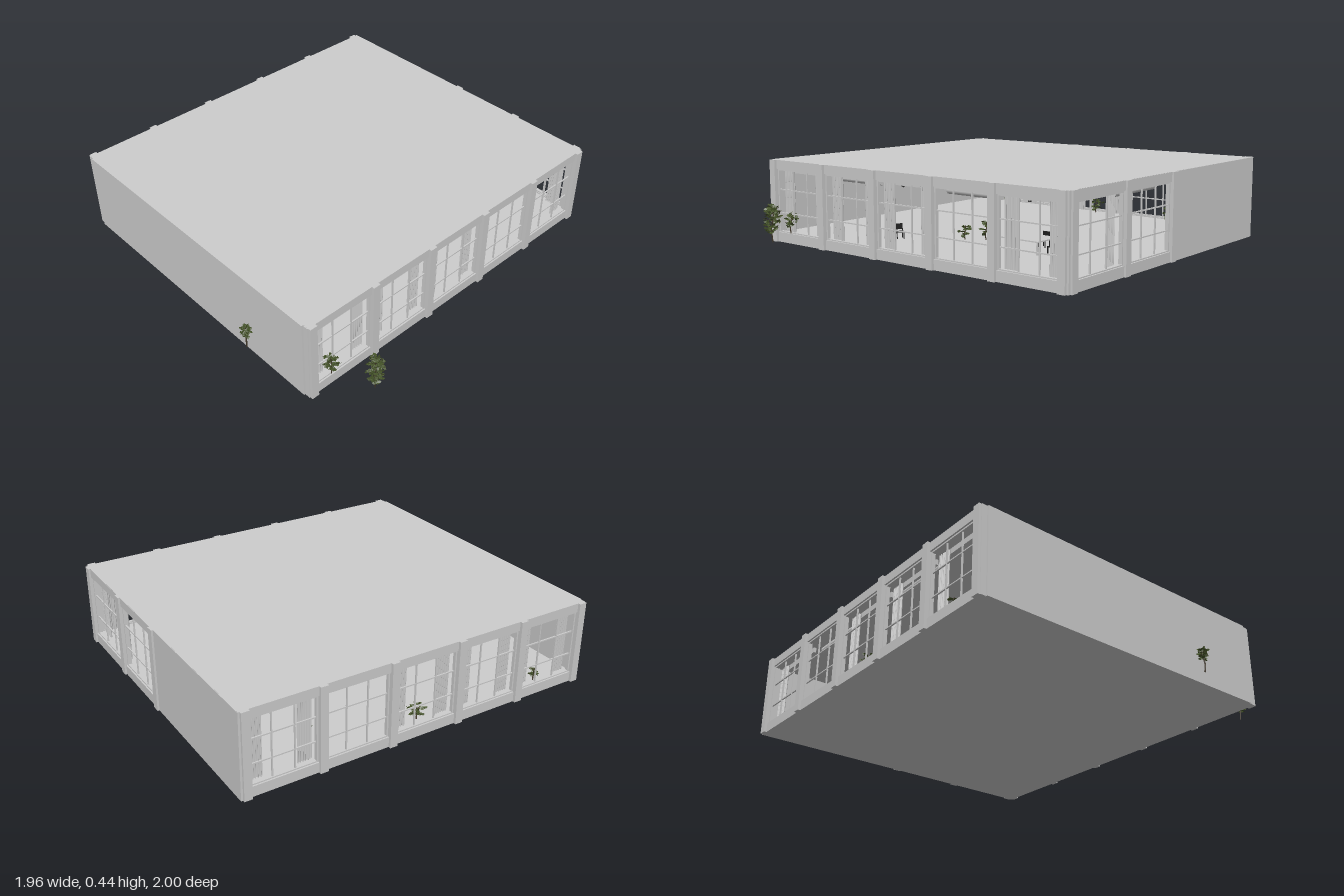
import * as THREE from 'three';
import { mergeGeometries } from 'three/addons/utils/BufferGeometryUtils.js';

const mat = (name, color, double = false) => {
  const m = new THREE.MeshStandardMaterial({ color });
  m.name = name;
  if (double) m.side = THREE.DoubleSide;
  return m;
};

export function createModel() {
  const model = new THREE.Group();
  model.name = 'pavilion';
  const shell = mat('shell grey', 0xcdcdcd);
  const cloth = mat('curtain grey', 0xc8c8c8, true);
  const black = mat('furniture black', 0x1e1e1e);
  const leafMat = mat('leaf green', 0x46552a, true);
  const bark = mat('bark brown', 0x42382a);

  let seed = 7;
  const rand = () => (seed = (seed * 16807) % 2147483647) / 2147483647;

  const add = (name, geometry, material, parent = model) => {
    const mesh = new THREE.Mesh(geometry, material);
    mesh.name = name;
    parent.add(mesh);
    return mesh;
  };
  // Box given by its limits on each axis
  const box = (name, m, x0, x1, y0, y1, z0, z1, parent = model) => {
    const mesh = add(name, new THREE.BoxGeometry(x1 - x0, y1 - y0, z1 - z0), m, parent);
    mesh.position.set((x0 + x1) / 2, (y0 + y1) / 2, (z0 + z1) / 2);
    return mesh;
  };

  // Slabs and solid walls
  box('floor', shell, -0.968, 0.748, 0, 0.045, -0.985, 0.92);
  box('roof', shell, -0.968, 0.748, 0.392, 0.435, -0.988, 0.92);
  box('frontWall', shell, -0.94, 0.717, 0, 0.435, 0.905, 0.936);
  box('backWall', shell, -0.97, -0.11, 0, 0.4345, -0.99, -0.96);

  // Curtain: a pleated hanging sheet along local x
  const curtain = (parent, u, d) => {
    const g = new THREE.PlaneGeometry(0.075, 0.33, 72, 1);
    const p = g.attributes.position;
    for (let i = 0; i < p.count; i++) p.setZ(i, 0.005 * Math.sin((p.getX(i) / 0.075) * Math.PI * 12));
    g.computeVertexNormals();
    add('curtain', g, cloth, parent).position.set(u, 0.215, d);
  };

  // Window bay, built along local x with its outside at local z = 0
  const bay = (parent, u0, u1, curtains, blind) => {
    box('sill', shell, u0, u1, 0, 0.052, -0.03, 0, parent);
    box('lintel', shell, u0, u1, 0.388, 0.434, -0.03, 0, parent);
    const a = u0 + 0.019, b = u1 - 0.019, f = 0.009;
    box('windowJamb', shell, a, a + f, 0.052, 0.388, -0.025, -0.008, parent);
    box('windowJamb', shell, b - f, b, 0.052, 0.388, -0.025, -0.008, parent);
    box('windowRail', shell, a, b, 0.38, 0.388, -0.025, -0.008, parent);
    box('windowRail', shell, a, b, 0.052, 0.058, -0.025, -0.008, parent);
    for (let i = 1; i < 3; i++) {
      const u = a + ((b - a) * i) / 3, y = 0.03 + 0.124 * i;
      box('mullion', shell, u - 0.003, u + 0.003, 0.055, 0.385, -0.02, -0.013, parent);
      box('transom', shell, a, b, y - 0.003, y + 0.003, -0.02, -0.013, parent);
    }
    if (curtains) {
      curtain(parent, a + 0.046, -0.05);
      curtain(parent, b - 0.046, -0.05);
      box('pelmet', shell, a, b, 0.364, 0.392, -0.075, -0.062, parent);
    }
    if (blind) {
      const roll = add('rollerBlind', new THREE.CylinderGeometry(0.02, 0.02, b - a - 0.02, 20), shell, parent);
      roll.rotation.z = Math.PI / 2;
      roll.position.set((a + b) / 2, 0.365, -0.1);
    }
  };

  // Long window sides: six columns and five bays each
  const columns = [-0.96, -0.585, -0.215, 0.16, 0.53, 0.905];
  for (const s of [1, -1]) {
    const side = new THREE.Group();
    side.name = s > 0 ? 'leftWindows' : 'rightWindows';
    side.position.x = -0.11 + s * 0.858;
    side.rotation.y = (s * Math.PI) / 2;
    model.add(side);
    columns.forEach((z, i) => {
      const u = -s * z;
      box('column', shell, u - 0.02, u + 0.02, 0, 0.435, -0.032, 0.014, side);
      if (i < 5) {
        const v = -s * columns[i + 1];
        bay(side, Math.min(u, v), Math.max(u, v), i !== 1, i === 1 || i === 3);
      }
    });
  }

  // Corner posts closing the ends
  for (const x of [-0.955, 0.735]) box('frontCornerPost', shell, x - 0.015, x + 0.013, 0, 0.4345, 0.9, 0.929);
  box('backCornerPost', shell, 0.72, 0.748, 0, 0.4345, -0.99, -0.95);

  // Two window bays at the back
  const back = new THREE.Group();
  back.name = 'backWindows';
  back.position.z = -0.99;
  back.rotation.y = Math.PI;
  model.add(back);
  const backColumns = [-0.715, -0.3, 0.11];
  backColumns.forEach((u, i) => {
    box('column', shell, u - 0.021, u + 0.021, 0, 0.435, -0.032, 0.01, back);
    if (i < 2) bay(back, u, backColumns[i + 1], i === 0, i === 1);
  });

  // Ceiling track with spotlights
  box('lightTrack', black, 0.497, 0.503, 0.386, 0.392, -0.75, 0.6);
  for (let i = 0; i < 7; i++) {
    const z = -0.6 + i * 0.2;
    const spot = add('spotlight', new THREE.CylinderGeometry(0.005, 0.008, 0.022, 12), black);
    spot.position.set(0.5, 0.335, z);
    spot.rotation.z = 0.4;
    box('spotlightStem', black, 0.499, 0.501, 0.34, 0.388, z - 0.001, z + 0.001);
  }

  // Table and chairs
  box('tableTop', shell, 0.2, 0.36, 0.106, 0.112, -0.54, -0.26);
  for (const x of [0.21, 0.35]) for (const z of [-0.53, -0.27])
    box('tableLeg', shell, x - 0.004, x + 0.004, 0.045, 0.106, z - 0.004, z + 0.004);
  const chair = (x, z, turn) => {
    const g = new THREE.Group();
    g.name = 'chair';
    g.position.set(x, 0.045, z);
    g.rotation.y = turn;
    model.add(g);
    box('seat', black, -0.02, 0.02, 0.034, 0.039, -0.02, 0.02, g);
    box('chairBack', black, -0.02, 0.02, 0.045, 0.075, -0.02, -0.016, g);
    for (const a of [-0.018, 0.018]) for (const b of [-0.018, 0.018])
      box('chairLeg', black, a - 0.002, a + 0.002, 0, b < 0 ? 0.06 : 0.036, b - 0.002, b + 0.002, g);
  };
  chair(0.4, -0.43, -Math.PI / 2);
  chair(0.16, -0.43, Math.PI / 2);
  chair(0.28, -0.57, 0);
  chair(0.45, 0.28, 2.6);

  // Small tree: bent trunk, twigs and scattered leaves
  const tree = (x, z, height, radius, leaves, bare, girth = 0.003) => {
    const g = new THREE.Group();
    g.name = 'plant';
    g.position.set(x, 0.045, z);
    model.add(g);
    const trunk = new THREE.CatmullRomCurve3([[0, 0, 0], [0.004, 0.35, 0.003], [-0.003, 0.7, -0.003], [0, 0.96, 0]]
      .map(([a, b, c]) => new THREE.Vector3(a, b * height, c)));
    const wood = [new THREE.TubeGeometry(trunk, 8, girth, 6)], foliage = [];
    const twigs = Math.ceil(leaves / 5);
    for (let i = 0; i < twigs; i++) {
      const t = bare + (1 - bare) * (i / twigs), angle = i * 2.4;
      const reach = radius * (0.3 + 0.7 * Math.sin(Math.PI * (0.1 + 0.85 * (i / twigs))));
      const from = trunk.getPoint(t);
      const to = from.clone().add(new THREE.Vector3(Math.cos(angle) * reach, height * 0.06, Math.sin(angle) * reach));
      wood.push(new THREE.TubeGeometry(new THREE.LineCurve3(from, to), 1, 0.001, 3));
      for (let k = 0; k < 5; k++) {
        const p = from.clone().lerp(to, 0.25 + 0.7 * rand());
        const leaf = new THREE.CircleGeometry(0.013, 6);
        leaf.scale(1, 0.5, 1);
        leaf.rotateX(rand() * 3);
        leaf.rotateY(rand() * 6.3);
        leaf.rotateZ(rand() - 0.5);
        leaf.translate(p.x, p.y + (rand() - 0.5) * height * 0.06, p.z);
        foliage.push(leaf);
      }
    }
    add('trunk', mergeGeometries(wood), bark, g);
    add('leaves', mergeGeometries(foliage), leafMat, g);
  };
  // Trees outside and by the front corner
  tree(0.93, 0.7, 0.19, 0.046, 190, 0.22);
  tree(0.343, 0.962, 0.128, 0.029, 80, 0.5, 0.004);
  tree(0.74, 0.79, 0.115, 0.038, 75, 0.35);
  // Potted greenery inside
  tree(0.2, -0.09, 0.1, 0.036, 45, 0.25);
  tree(0.26, 0, 0.075, 0.036, 40, 0.2);
  tree(-0.9, -0.03, 0.08, 0.045, 60, 0.2);
  tree(-0.8, -0.575, 0.1, 0.03, 45, 0.3);
  tree(-0.92, 0.68, 0.07, 0.025, 30, 0.3);

  return model;
}
